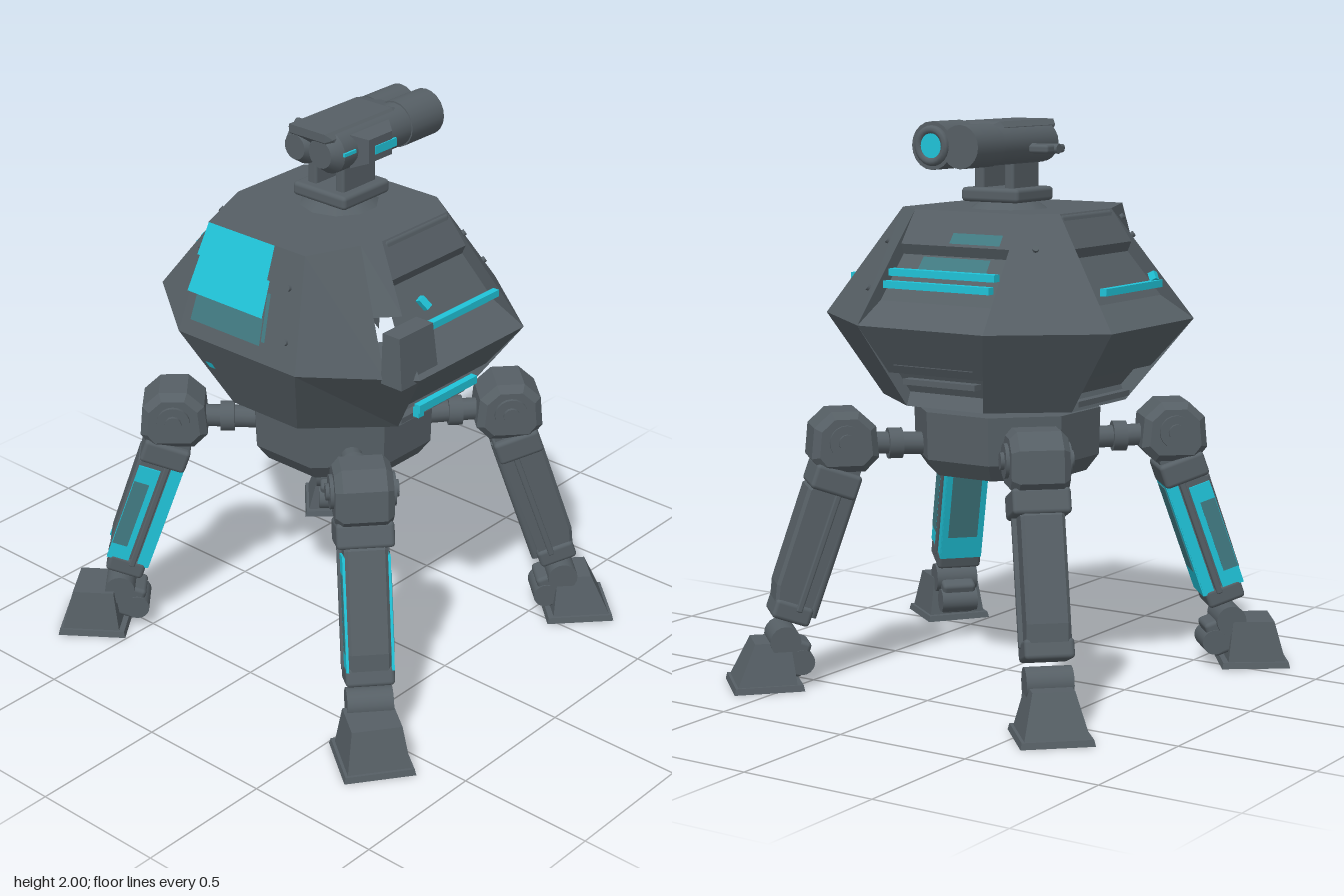
import * as THREE from 'three';
import { RoundedBoxGeometry } from 'three/addons/geometries/RoundedBoxGeometry.js';

const V = (x, y, z) => new THREE.Vector3(x, y, z);
const mat = (name, color) => Object.assign(new THREE.MeshStandardMaterial({ color }), { name });

export function createModel() {
  const grey = mat('gunmetal', 0x565f65);
  const cyan = mat('cyan', 0x20c3d8);
  const worn = mat('wornCyan', 0x417a82);
  const model = new THREE.Group();
  model.name = 'walkerTurret';

  const add = (parent, name, geo, m, x = 0, y = 0, z = 0, rx = 0, ry = 0, rz = 0) => {
    const mesh = new THREE.Mesh(geo, m);
    mesh.name = name;
    mesh.position.set(x, y, z);
    mesh.rotation.set(rx, ry, rz);
    parent.add(mesh);
    return mesh;
  };
  const box = (w, h, d) => new THREE.BoxGeometry(w, h, d);
  const rbox = (w, h, d, r = 0.015) => new RoundedBoxGeometry(w, h, d, 2, r);
  const cyl = (r0, r1, h, n = 20) => new THREE.CylinderGeometry(r0, r1, h, n);
  // Box whose top is scaled and shifted
  const taper = (w, h, d, sx, sz, dx = 0) => {
    const g = box(w, h, d), p = g.attributes.position;
    for (let i = 0; i < p.count; i++)
      if (p.getY(i) > 0) p.setXYZ(i, p.getX(i) * sx + dx, p.getY(i), p.getZ(i) * sz);
    g.computeVertexNormals();
    return g;
  };
  // Side profile in x/y, extruded evenly about z = 0
  const slab = (pts, depth, bevel = 0.012) => {
    const g = new THREE.ExtrudeGeometry(new THREE.Shape(pts.map(p => new THREE.Vector2(...p))),
      { depth: depth - 2 * bevel, bevelThickness: bevel, bevelSize: bevel, bevelOffset: -bevel, bevelSegments: 1 });
    return g.translate(0, 0, bevel - depth / 2);
  };
  const rod = (parent, name, a, b, r) => {
    const d = b.clone().sub(a);
    const mesh = add(parent, name, cyl(r, r, d.length(), 12), grey);
    mesh.position.copy(a).add(b).multiplyScalar(0.5);
    mesh.quaternion.setFromUnitVectors(V(0, 1, 0), d.normalize());
  };
  // Faceted surface from counter-clockwise quads
  const quadMesh = (parent, name, quads, m) => {
    const pts = quads.flatMap(([a, b, c, d]) => [a, b, c, a, c, d]);
    const g = new THREE.BufferGeometry().setFromPoints(pts);
    g.computeVertexNormals();
    return add(parent, name, g, m);
  };

  // ---- Hull: eight-sided rings joined by panels ----
  const hull = new THREE.Group();
  hull.name = 'hull';
  model.add(hull);
  const ring = (y, f, s, sb, b) => [[-f[0], f[1]], f, s, sb, b, [-b[0], b[1]], [-sb[0], sb[1]], [-s[0], s[1]]]
    .map(([x, z]) => V(x, y, z));
  const top = ring(1.685, [0.22, 0.43], [0.33, 0.17], [0.33, -0.17], [0.22, -0.25]);
  const mid = ring(1.3, [0.27, 0.54], [0.6, 0.29], [0.6, -0.27], [0.26, -0.54]);
  const low = ring(1.01, [0.15, 0.4], [0.4, 0.16], [0.4, -0.2], [0.16, -0.39]);
  const panel = (upper, lower, i) => {
    const j = (i + 1) % 8, [A, B, C, D] = [upper[i], upper[j], lower[j], lower[i]];
    const n = B.clone().sub(A).cross(A.clone().sub(D)).normalize();
    return (u, t, out = 0) => A.clone().lerp(D, t).lerp(B.clone().lerp(C, t), u).addScaledVector(n, out);
  };
  // Part of a panel, raised by o0 at its upper edge and o1 at its lower edge
  const patch = (P, u0, u1, t0, t1, o0 = 0, o1 = o0) => [P(u0, t0, o0), P(u0, t1, o1), P(u1, t1, o1), P(u1, t0, o0)];
  // Panel sunk by a profile of [t, depth], with walls at both ends
  const sunk = (P, prof) => prof.slice(1).flatMap(([t1, d1], k) => {
    const [t0, d0] = prof[k];
    return [
      [P(0, t0, -d0), P(0, t1, -d1), P(1, t1, -d1), P(1, t0, -d0)],
      [P(0, t0), P(0, t1), P(0, t1, -d1), P(0, t0, -d0)],
      [P(1, t0, -d0), P(1, t1, -d1), P(1, t1), P(1, t0)],
    ];
  });
  const up = i => panel(top, mid, i), down = i => panel(mid, low, i);
  const upperProfile = [[0, 0], [0.28, 0.015], [0.32, 0.05], [0.72, 0.05], [1, 0.0]];
  const lowerProfile = [[0, 0], [0.6, 0.01], [0.62, 0.05], [0.92, 0.05], [1, 0]];
  const shell = [];
  for (let i = 0; i < 8; i++) {
    const recessed = i === 2 || i === 4 || i === 6;
    if (recessed) shell.push(...sunk(up(i), upperProfile), ...sunk(down(i), lowerProfile));
    else {
      shell.push(patch(down(i), 0, 1, 0, 1));
      // The front left corner has an open gap beside its hatch
      if (i === 1) shell.push(patch(up(1), 0, 0.72, 0, 1), patch(up(1), 0.72, 1, 0, 0.54), patch(up(1), 0.72, 1, 0.72, 1));
      else shell.push(patch(up(i), 0, 1, 0, 1));
    }
  }
  for (const [r, flip] of [[top, false], [low, true]])
    for (const [a, b, c, d] of [[0, 1, 2, 7], [7, 2, 3, 6], [6, 3, 4, 5]])
      shell.push(flip ? [r[d], r[c], r[b], r[a]] : [r[a], r[b], r[c], r[d]]);
  quadMesh(hull, 'hullShell', shell, grey);

  // Front window panes, leaning out like louvres
  const front = up(0);
  quadMesh(hull, 'frontPanes', [[0, 0.29], [0.3, 0.62]].map(([a, b]) => patch(front, 0.01, 0.7, a, b, 0.004, 0.018)), cyan);
  quadMesh(hull, 'frontWornPaint', [patch(front, 0.08, 0.69, 0.62, 0.86, 0.006), patch(front, 0.7, 0.73, 0.4, 0.82, 0.006)], worn);
  quadMesh(hull, 'frontMarker', [patch(down(0), 0.08, 0.15, 0.36, 0.44, 0.006)], cyan);

  // Light bars and ledges on the sides
  for (const s of [-1, 1]) {
    add(hull, 'sideLightBar', box(0.025, 0.025, 0.38), cyan, s * 0.525, 1.43, -0.015);
    add(hull, 'lowerLedge', box(0.05, 0.02, 0.34), grey, s * 0.39, 1.035, -0.01);
    add(hull, 'topHatch', rbox(0.05, 0.1, 0.34), grey, s * 0.325, 1.63, -0.005, 0, 0, s * 0.25);
  }
  add(hull, 'sideLightTab', box(0.025, 0.045, 0.025), cyan, 0.485, 1.495, 0.135, 0.5, 0, 0.5);
  add(hull, 'sideLightTab', box(0.025, 0.03, 0.025), cyan, -0.515, 1.455, 0.15, 0.3, 0, -0.5);
  add(hull, 'lowerLightBar', box(0.025, 0.03, 0.31), cyan, 0.475, 1.1, -0.005);
  add(hull, 'lowerLightClip', box(0.025, 0.035, 0.03), cyan, 0.465, 1.08, 0.13);

  // Rear light bars and vents
  const rear = up(4);
  add(hull, 'rearLightBar', box(0.44, 0.025, 0.035), cyan, 0.01, 1.475, -0.38);
  add(hull, 'rearLightBar', box(0.44, 0.025, 0.03), cyan, 0.01, 1.435, -0.415);
  quadMesh(hull, 'rearWornPaint', [patch(rear, 0.2, 0.8, 0.34, 0.5, -0.045), patch(rear, 0.45, 0.9, 0.18, 0.27, -0.004)], worn);
  for (let k = 0; k < 3; k++)
    add(hull, 'rearVent', box(0.36 - k * 0.03, 0.02, 0.04), grey, 0, 1.24 - k * 0.07, -0.475 + k * 0.035);

  // Corner hatch by the gap
  add(hull, 'cornerHatch', taper(0.09, 0.18, 0.19, 0.8, 0.9, -0.01), grey, 0.54, 1.375, 0.27);

  // Bolts scattered over the plain panels
  for (const [i, u, t] of [[0, 0.88, 0.3], [0, 0.9, 0.75], [1, 0.2, 0.2], [7, 0.3, 0.1], [7, 0.8, 0.3], [5, 0.4, 0.3], [3, 0.5, 0.3], [3, 0.8, 0.7]]) {
    const P = up(i);
    rod(hull, 'bolt', P(u, t), P(u, t, 0.012), 0.011);
  }

  // ---- Pelvis ----
  add(model, 'neckRing', cyl(0.2, 0.23, 0.06, 28), grey, 0, 0.99, 0);
  for (const [name, r0, r1, h, y] of [['pelvis', 0.34, 0.335, 0.17, 0.895], ['pelvisKeel', 0.335, 0.29, 0.06, 0.78]]) {
    const g = cyl(r0, r1, h, 8).rotateY(Math.PI / 8).toNonIndexed();
    g.computeVertexNormals();
    add(model, name, g, grey, 0, y, 0);
  }

  // ---- Legs: local x points outward ----
  const makeLeg = (name, azimuth, painted, footYaw, footX, toe) => {
    const leg = new THREE.Group();
    leg.name = name;
    leg.rotation.y = -azimuth * Math.PI / 180;
    model.add(leg);
    rod(leg, 'hipArm', V(0.28, 0.85, 0), V(0.52, 0.86, 0), 0.04);
    add(leg, 'hipCollar', cyl(0.055, 0.055, 0.05), grey, 0.41, 0.855, 0, 0, 0, Math.PI / 2);
    add(leg, 'kneeHousing', slab([[0.48, 0.82], [0.49, 0.93], [0.55, 0.985], [0.65, 0.985], [0.71, 0.93], [0.72, 0.82], [0.68, 0.77], [0.53, 0.77]], 0.2, 0.025), grey);
    add(leg, 'kneePivot', cyl(0.06, 0.06, 0.225), grey, 0.6, 0.88, 0, Math.PI / 2);
    add(leg, 'kneePin', cyl(0.03, 0.03, 0.25, 12), grey, 0.6, 0.88, 0, Math.PI / 2);

    const shin = new THREE.Group();
    shin.name = 'shin';
    shin.position.set(0.6, 0.82, 0);
    shin.rotation.z = 0.34;
    leg.add(shin);
    add(shin, 'shinCore', taper(0.12, 0.58, 0.15, 1.15, 1), grey, 0, -0.32, 0);
    add(shin, 'shinCollar', rbox(0.17, 0.09, 0.2), grey, 0.005, -0.09, 0);
    add(shin, 'shinArmour', slab([[0.05, -0.1], [0.09, -0.14], [0.085, -0.5], [0.06, -0.6], [0.04, -0.6]], 0.15), grey);
    add(shin, 'shinCuff', rbox(0.14, 0.07, 0.17), grey, 0, -0.58, 0);
    for (const s of [-1, 1]) {
      add(shin, 'shinRail', rbox(0.022, 0.46, 0.03, 0.006), grey, -0.018, -0.34, s * 0.076);
      if (painted) {
        add(shin, 'shinSideStrip', box(0.04, 0.46, 0.009), cyan, -0.054, -0.33, s * 0.078);
        add(shin, 'shinSidePanel', box(0.08, 0.4, 0.009), cyan, 0.04, -0.36, s * 0.078);
        add(shin, 'shinWornPaint', box(0.056, 0.27, 0.009), worn, 0.05, -0.36, s * 0.08);
      } else rod(shin, 'piston', V(-0.07, -0.06, s * 0.05), V(-0.075, -0.58, s * 0.04), 0.018);
    }
    if (painted) {
      add(shin, 'shinInnerPanel', box(0.009, 0.46, 0.16), cyan, -0.074, -0.33, 0);
      add(shin, 'shinInnerWornPaint', box(0.009, 0.33, 0.115), worn, -0.077, -0.3, 0);
    }

    // Ankle
    add(leg, 'anklePivot', cyl(0.055, 0.055, 0.16), grey, 0.82, 0.17, 0, Math.PI / 2);
    add(leg, 'ankleBlock', rbox(0.1, 0.13, 0.13), grey, 0.79, 0.11, 0, 0, 0, 0.35);
    add(leg, 'heelKnuckle', cyl(0.045, 0.045, 0.14), grey, 0.76, 0.09, 0, Math.PI / 2);

    // Foot, turned slightly on the ankle
    const foot = new THREE.Group();
    foot.name = 'foot';
    foot.position.x = footX;
    foot.rotation.y = footYaw;
    leg.add(foot);
    add(foot, 'footSole', taper(0.25, 0.022, 0.25, 0.96, 0.96), grey, 0, 0.011, 0);
    add(foot, 'footToe', taper(0.21, 0.145, 0.22, ...toe), grey, 0.005, 0.094, 0);
  };
  makeLeg('frontLeftLeg', 42, true, 0.1, 0.915, [0.72, 0.8, -0.01]);
  makeLeg('frontRightLeg', 138, true, -0.1, 0.915, [0.72, 0.8, -0.01]);
  makeLeg('rearLeftLeg', -47, false, 0, 0.885, [0.6, 0.65, -0.025]);
  makeLeg('rearRightLeg', -133, false, 0, 0.885, [0.6, 0.65, -0.025]);

  // ---- Sensor head ----
  const head = new THREE.Group();
  head.name = 'sensorHead';
  model.add(head);
  add(head, 'headPlinth', cyl(0.1, 0.15, 0.035, 10), grey, -0.01, 1.695, 0);
  add(head, 'headFlange', rbox(0.24, 0.05, 0.24), grey, -0.01, 1.735, -0.01);
  for (const x of [-0.07, 0.055])
    add(head, 'headPost', rbox(0.04, 0.11, 0.17, 0.01), grey, x, 1.805, -0.01);
  const bodyProfile = [[0.165, 1.995], [0.165, 1.965], [0.1, 1.9], [0.1, 1.845], [-0.25, 1.845], [-0.25, 1.98], [-0.18, 1.995]];
  add(head, 'headBody', slab(bodyProfile, 0.2, 0.02).rotateY(-Math.PI / 2), grey, -0.01, 0, 0);
  for (const [x, r, y] of [[-0.07, 0.075, 1.915], [0.045, 0.083, 1.917]]) {
    add(head, 'sensorTube', cyl(r * 0.94, r * 0.94, 0.36), grey, x, y, -0.06, Math.PI / 2);
    add(head, 'sensorNose', cyl(r * 0.6, r * 0.94, 0.04), grey, x, y, 0.14, Math.PI / 2);
    add(head, 'rearBarrel', cyl(r, r, 0.17), grey, x, y, -0.31, Math.PI / 2);
  }
  add(head, 'lensRim', new THREE.TorusGeometry(0.055, 0.015, 8, 24), grey, 0.045, 1.917, -0.395);
  add(head, 'lens', cyl(0.045, 0.045, 0.008), cyan, 0.045, 1.917, -0.397, Math.PI / 2);
  rod(head, 'sideRod', V(-0.13, 1.9, -0.05), V(-0.25, 1.9, -0.05), 0.017);
  add(head, 'sideKnob', rbox(0.08, 0.03, 0.12, 0.01), grey, -0.2, 1.9, -0.05);
  add(head, 'sideBump', taper(0.12, 0.05, 0.2, 0.7, 0.6), grey, 0.125, 1.915, -0.03, 0, 0, -Math.PI / 2);
  add(head, 'headSideLight', box(0.008, 0.03, 0.11), cyan, 0.15, 1.913, -0.055);
  add(head, 'headFrontLight', box(0.008, 0.012, 0.06), cyan, 0.126, 1.925, 0.1);
  return model;
}
